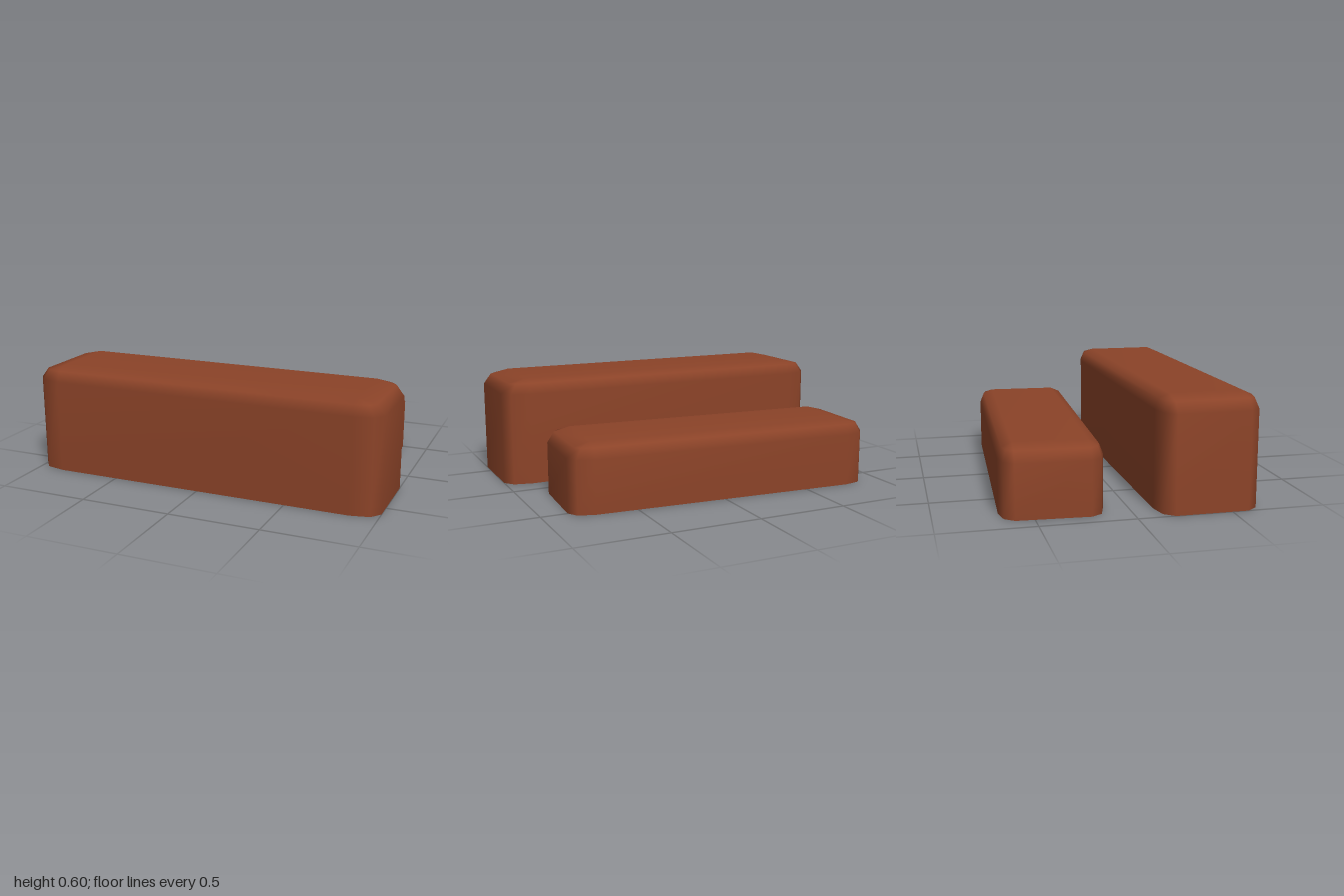
import * as THREE from 'three';
import { mergeVertices } from 'three/addons/utils/BufferGeometryUtils.js';

// Open-bottomed block with elliptical bevels on its corners and top edges
function blockGeometry(length, height, depth, rx, ry, rz) {
  const steps = 2, ring = 4 * (steps + 1);
  const positions = [], index = [];
  const cx = length / 2 - rx, cz = depth / 2 - rz;

  // Each level: height and how far the corner bevel reaches out
  const levels = [[0, 1]];
  for (let i = 0; i <= steps; i++) {
    const t = (i / steps) * Math.PI / 2;
    levels.push([height - ry + ry * Math.sin(t), i === steps ? 0 : Math.cos(t)]);
  }
  for (const [y, reach] of levels) {
    for (let corner = 0; corner < 4; corner++) {
      const sx = corner === 0 || corner === 3 ? 1 : -1;
      const sz = corner < 2 ? 1 : -1;
      for (let i = 0; i <= steps; i++) {
        const a = (corner + i / steps) * Math.PI / 2;
        positions.push(sx * cx + rx * reach * Math.cos(a), y, sz * cz + rz * reach * Math.sin(a));
      }
    }
  }

  // Walls and bevels
  for (let l = 0; l < levels.length - 1; l++) {
    for (let i = 0; i < ring; i++) {
      const a = l * ring + i, b = l * ring + (i + 1) % ring;
      index.push(a, a + ring, b, b, a + ring, b + ring);
    }
  }
  // Flat top
  const top = (levels.length - 1) * ring;
  for (let i = 1; i < ring - 1; i++) index.push(top, top + i + 1, top + i);

  const geometry = new THREE.BufferGeometry();
  geometry.setAttribute('position', new THREE.Float32BufferAttribute(positions, 3));
  geometry.setIndex(index);
  const merged = mergeVertices(geometry, 1e-4);
  merged.computeVertexNormals();
  return merged;
}

export function createModel() {
  const group = new THREE.Group();
  const brick = new THREE.MeshStandardMaterial({ color: 0x8b4328, side: THREE.DoubleSide });
  brick.name = 'brick brown';

  // Tall block at the front
  const front = new THREE.Mesh(blockGeometry(2, 0.6, 0.545, 0.15, 0.08, 0.077), brick);
  front.name = 'frontBlock';
  front.position.z = 0.393;

  // Lower block behind, turned slightly
  const back = new THREE.Mesh(blockGeometry(1.75, 0.37, 0.54, 0.13, 0.08, 0.077), brick);
  back.name = 'backBlock';
  back.position.set(-0.03, 0, -0.356);
  back.rotation.y = -0.057;

  group.add(front, back);
  return group;
}
